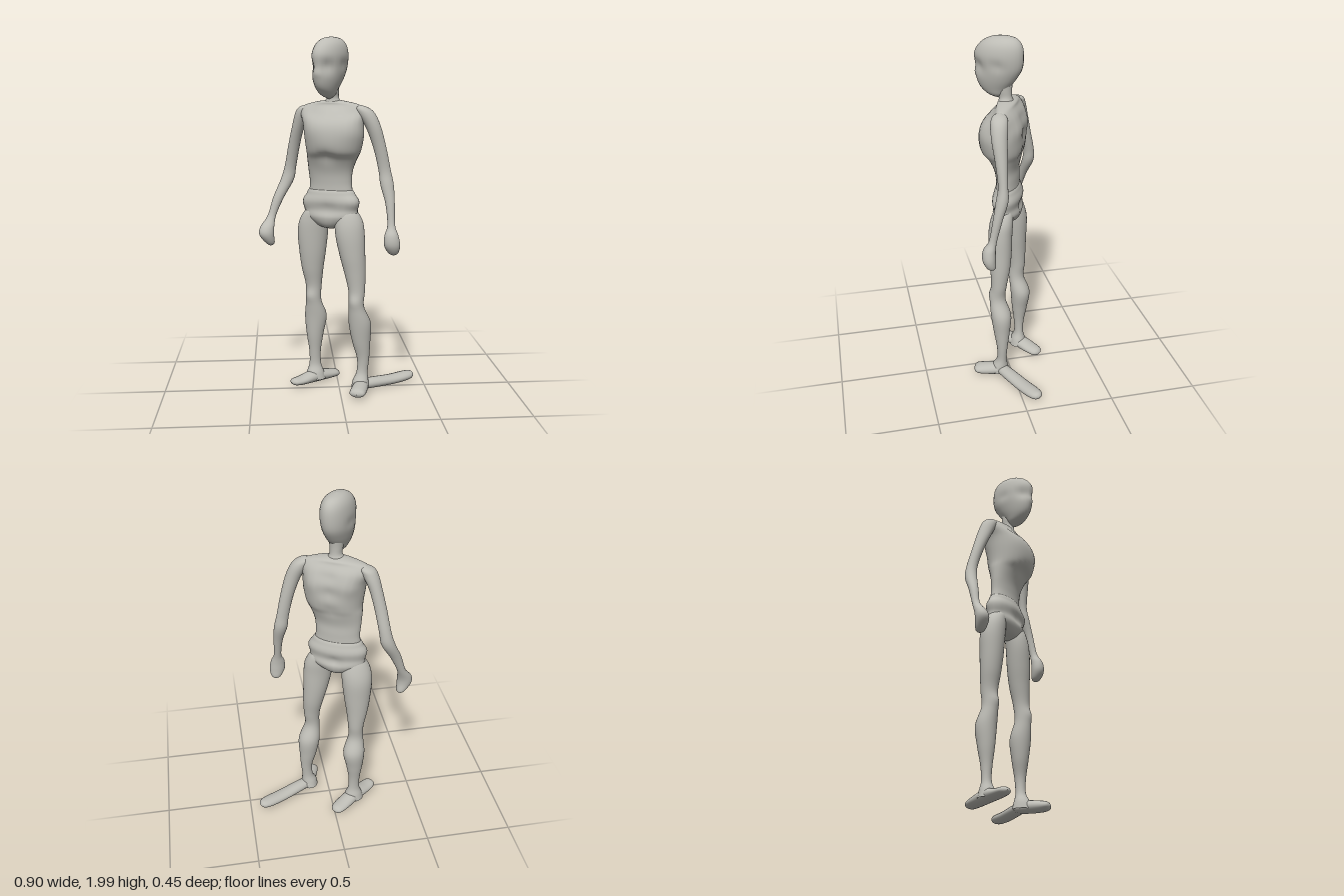
import * as THREE from 'three';

const SIDES = 28, STEPS = 6;
const V = (x, y, z) => new THREE.Vector3(x, y, z);

// Catmull-Rom value between b and c
const spline = (a, b, c, d, t) =>
  0.5 * (2 * b + (c - a) * t + (2 * a - 5 * b + 4 * c - d) * t * t + (3 * b - a - 3 * c + d) * t * t * t);

// Smooth closed skin through elliptical rings; row = [x, y, z, radius along u, radius along v]
function loft(rows, u, v) {
  const rings = [];
  const last = rows.length - 1;
  for (let i = 0; i < last; i++) {
    for (let s = 0; s < STEPS; s++) {
      rings.push(rows[i].map((n, k) =>
        spline(rows[Math.max(i - 1, 0)][k], n, rows[i + 1][k], rows[Math.min(i + 2, last)][k], s / STEPS)));
    }
  }
  rings.push(rows[last]);
  const pos = [], index = [];
  rings.forEach(([x, y, z, a, b], i) => {
    for (let j = 0; j < SIDES; j++) {
      const t = (j / SIDES) * Math.PI * 2;
      const p = V(x, y, z)
        .addScaledVector(u, Math.max(a, 0.0005) * Math.cos(t))
        .addScaledVector(v, Math.max(b, 0.0005) * Math.sin(t));
      pos.push(p.x, p.y, p.z);
      if (i === rings.length - 1) continue;
      const p0 = i * SIDES + j, p1 = i * SIDES + (j + 1) % SIDES;
      index.push(p0, p1, p0 + SIDES, p1, p1 + SIDES, p0 + SIDES);
    }
  });
  const g = new THREE.BufferGeometry();
  g.setAttribute('position', new THREE.Float32BufferAttribute(pos, 3));
  g.setIndex(index);
  g.computeVertexNormals();
  return g;
}

// Push the skin in or out around spots; spot = [x, y, z, reach, amount]
function sculpt(g, spots) {
  const P = g.attributes.position, N = g.attributes.normal;
  const p = V(0, 0, 0), n = V(0, 0, 0);
  for (let i = 0; i < P.count; i++) {
    p.fromBufferAttribute(P, i);
    n.fromBufferAttribute(N, i);
    let push = 0;
    for (const [x, y, z, reach, amount] of spots) {
      push += amount * Math.exp(-p.distanceToSquared(V(x, y, z)) / (reach * reach));
    }
    p.addScaledVector(n, push);
    P.setXYZ(i, p.x, p.y, p.z);
  }
  g.computeVertexNormals();
  return g;
}

export function createModel() {
  const model = new THREE.Group();
  model.name = 'figure';
  const clay = new THREE.MeshStandardMaterial({ color: 0xbdbcb5 });
  clay.name = 'grey clay';
  const add = (name, geometry) => {
    const mesh = new THREE.Mesh(geometry, clay);
    mesh.name = name;
    model.add(mesh);
  };

  // Horizontal ring axes: plain, turned body, turned head
  const plain = [V(1, 0, 0), V(0, 0, -1)];
  const body = [V(0.89, 0, 0.45), V(0.45, 0, -0.89)];
  const face = [V(0.8, 0, 0.6), V(0.6, 0, -0.8)];

  // Head with eye hollows, brow and cheek hollows
  add('head', sculpt(loft([
    [-0.055, 1.665, 0.035, 0, 0],
    [-0.062, 1.685, 0.045, 0.032, 0.045],
    [-0.068, 1.72, 0.052, 0.05, 0.08],
    [-0.063, 1.77, 0.045, 0.066, 0.112],
    [-0.055, 1.83, 0.033, 0.077, 0.132],
    [-0.05, 1.9, 0.03, 0.08, 0.135],
    [-0.045, 1.955, 0.022, 0.068, 0.115],
    [-0.04, 1.988, 0.012, 0.04, 0.07],
    [-0.04, 2, 0.01, 0, 0],
  ], ...face), [
    [-0.15, 1.84, 0.09, 0.035, -0.014],
    [-0.07, 1.84, 0.14, 0.035, -0.014],
    [-0.13, 1.9, 0.13, 0.04, 0.006],
    [-0.13, 1.8, 0.14, 0.02, 0.006],
    [0.02, 1.85, 0.06, 0.03, -0.008],
    [-0.1, 1.85, -0.02, 0.03, -0.008],
  ]));

  add('neck', loft([
    [-0.035, 1.58, -0.01, 0.07, 0.05],
    [-0.035, 1.635, -0.005, 0.058, 0.045],
    [-0.035, 1.67, 0, 0.035, 0.036],
    [-0.038, 1.71, 0.005, 0.036, 0.04],
    [-0.04, 1.76, 0.01, 0.04, 0.05],
  ], ...body));

  // Ribcage, narrow waist and shoulder girdle
  add('torso', sculpt(loft([
    [-0.045, 1.06, -0.015, 0, 0],
    [-0.045, 1.09, -0.015, 0.125, 0.055],
    [-0.045, 1.2, -0.015, 0.125, 0.06],
    [-0.047, 1.27, -0.01, 0.131, 0.065],
    [-0.04, 1.335, 0, 0.145, 0.088],
    [-0.032, 1.385, 0.014, 0.157, 0.118],
    [-0.03, 1.46, 0.017, 0.17, 0.127],
    [-0.033, 1.53, 0.01, 0.176, 0.118],
    [-0.035, 1.59, -0.007, 0.19, 0.087],
    [-0.035, 1.63, -0.012, 0.17, 0.055],
    [-0.035, 1.652, -0.01, 0.09, 0.045],
    [-0.035, 1.665, -0.008, 0, 0],
  ], ...body), [
    [-0.085, 1.35, 0.1, 0.045, -0.014],
    [-0.15, 1.6, 0.02, 0.04, -0.01],
    [0.06, 1.6, 0.11, 0.04, -0.01],
    [0.05, 1.5, 0.14, 0.06, 0.008],
    [-0.16, 1.5, 0.08, 0.06, 0.006],
    [0.03, 1.58, -0.1, 0.04, -0.016],
    [0.025, 1.48, -0.1, 0.045, -0.018],
    [0.015, 1.38, -0.09, 0.045, -0.014],
    [-0.08, 1.52, -0.13, 0.05, 0.012],
    [0.1, 1.52, -0.03, 0.05, 0.012],
  ]));

  // Pelvis with a raised hip rim
  add('pelvis', sculpt(loft([
    [-0.045, 0.94, -0.015, 0, 0],
    [-0.045, 0.96, -0.015, 0.07, 0.055],
    [-0.043, 1.01, -0.015, 0.15, 0.08],
    [-0.043, 1.055, -0.015, 0.158, 0.074],
    [-0.043, 1.1, -0.015, 0.166, 0.08],
    [-0.044, 1.135, -0.015, 0.148, 0.072],
    [-0.045, 1.17, -0.015, 0.118, 0.055],
    [-0.045, 1.19, -0.015, 0, 0],
  ], ...body), [
    [-0.07, 1.06, 0.06, 0.045, -0.01],
    [-0.01, 1.04, -0.09, 0.03, -0.016],
    [0.07, 1.1, 0.09, 0.04, 0.01],
    [-0.19, 1.08, -0.05, 0.04, 0.008],
  ]));

  // Arms run from fist to shoulder
  add('leftArm', loft([
    [0.288, 0.815, 0.15, 0, 0],
    [0.287, 0.83, 0.153, 0.027, 0.024],
    [0.279, 0.875, 0.163, 0.044, 0.036],
    [0.275, 0.93, 0.16, 0.038, 0.034],
    [0.276, 0.985, 0.14, 0.021, 0.022],
    [0.272, 1.1, 0.113, 0.026, 0.026],
    [0.258, 1.2, 0.086, 0.037, 0.033],
    [0.245, 1.28, 0.078, 0.034, 0.026],
    [0.218, 1.4, 0.08, 0.036, 0.033],
    [0.183, 1.51, 0.082, 0.042, 0.042],
    [0.145, 1.585, 0.075, 0.048, 0.046],
    [0.12, 1.62, 0.068, 0.035, 0.035],
    [0.11, 1.635, 0.065, 0, 0],
  ], ...plain));
  add('rightArm', loft([
    [-0.385, 0.825, -0.13, 0, 0],
    [-0.388, 0.84, -0.128, 0.024, 0.024],
    [-0.408, 0.89, -0.118, 0.042, 0.036],
    [-0.405, 0.935, -0.125, 0.04, 0.034],
    [-0.377, 1, -0.153, 0.024, 0.021],
    [-0.338, 1.1, -0.17, 0.031, 0.026],
    [-0.287, 1.2, -0.19, 0.038, 0.033],
    [-0.267, 1.28, -0.188, 0.033, 0.03],
    [-0.246, 1.4, -0.16, 0.033, 0.032],
    [-0.222, 1.51, -0.128, 0.035, 0.04],
    [-0.197, 1.585, -0.105, 0.042, 0.044],
    [-0.18, 1.62, -0.095, 0.036, 0.036],
    [-0.17, 1.635, -0.09, 0, 0],
  ], ...plain));

  // Legs run from sole to hip
  add('leftLeg', sculpt(loft([
    [0.115, 0.03, 0.075, 0.05, 0.06],
    [0.118, 0.07, 0.07, 0.045, 0.045],
    [0.128, 0.12, 0.062, 0.032, 0.028],
    [0.133, 0.2, 0.06, 0.035, 0.031],
    [0.122, 0.3, 0.06, 0.052, 0.046],
    [0.113, 0.41, 0.062, 0.063, 0.058],
    [0.092, 0.51, 0.077, 0.043, 0.045],
    [0.094, 0.6, 0.069, 0.047, 0.045],
    [0.085, 0.7, 0.06, 0.06, 0.056],
    [0.071, 0.8, 0.056, 0.072, 0.064],
    [0.058, 0.91, 0.052, 0.082, 0.066],
    [0.052, 0.99, 0.042, 0.078, 0.062],
    [0.045, 1.05, 0.03, 0.05, 0.045],
    [0.045, 1.07, 0.03, 0, 0],
  ], ...plain), [[0.075, 0.54, 0.115, 0.03, 0.008]]));
  add('rightLeg', sculpt(loft([
    [-0.132, 0.03, -0.1, 0.06, 0.05],
    [-0.133, 0.07, -0.1, 0.05, 0.042],
    [-0.133, 0.12, -0.104, 0.034, 0.027],
    [-0.134, 0.2, -0.105, 0.034, 0.031],
    [-0.133, 0.3, -0.108, 0.049, 0.046],
    [-0.128, 0.41, -0.11, 0.063, 0.057],
    [-0.141, 0.51, -0.09, 0.044, 0.044],
    [-0.14, 0.6, -0.094, 0.046, 0.046],
    [-0.146, 0.7, -0.088, 0.062, 0.056],
    [-0.146, 0.8, -0.083, 0.076, 0.064],
    [-0.144, 0.91, -0.079, 0.086, 0.069],
    [-0.138, 0.99, -0.068, 0.08, 0.062],
    [-0.13, 1.05, -0.055, 0.05, 0.045],
    [-0.13, 1.07, -0.055, 0, 0],
  ], ...plain), [[-0.165, 0.54, -0.055, 0.03, 0.008]]));

  // Flat feet: [fraction along, half width, half height, middle height]
  const foot = (name, from, to, profile) => {
    const start = V(from[0], 0, from[1]), end = V(to[0], 0, to[1]);
    const up = V(0, 1, 0);
    const across = up.clone().cross(end.clone().sub(start).normalize());
    add(name, loft(profile.map(([t, w, h, y]) => {
      const p = start.clone().lerp(end, t);
      return [p.x, y, p.z, w, h];
    }), across, up));
  };
  foot('leftForefoot', [0.14, 0.02], [0.08, 0.22], [
    [0, 0, 0, 0.045], [0.08, 0.03, 0.025, 0.045], [0.35, 0.042, 0.034, 0.045],
    [0.75, 0.046, 0.03, 0.042], [0.94, 0.038, 0.02, 0.042], [1, 0, 0, 0.042],
  ]);
  foot('leftHeel', [0.09, 0.085], [0.445, -0.09], [
    [0, 0, 0, 0.045], [0.06, 0.03, 0.025, 0.045], [0.25, 0.038, 0.03, 0.044],
    [0.6, 0.042, 0.028, 0.038], [0.85, 0.041, 0.027, 0.041], [0.96, 0.028, 0.02, 0.044], [1, 0, 0, 0.045],
  ]);
  foot('rightFoot', [-0.275, 0.007], [0.008, -0.203], [
    [0, 0, 0, 0.042], [0.05, 0.032, 0.018, 0.042], [0.2, 0.043, 0.024, 0.04],
    [0.5, 0.044, 0.036, 0.045], [0.8, 0.045, 0.027, 0.034], [0.95, 0.034, 0.02, 0.028], [1, 0, 0, 0.026],
  ]);

  return model;
}
